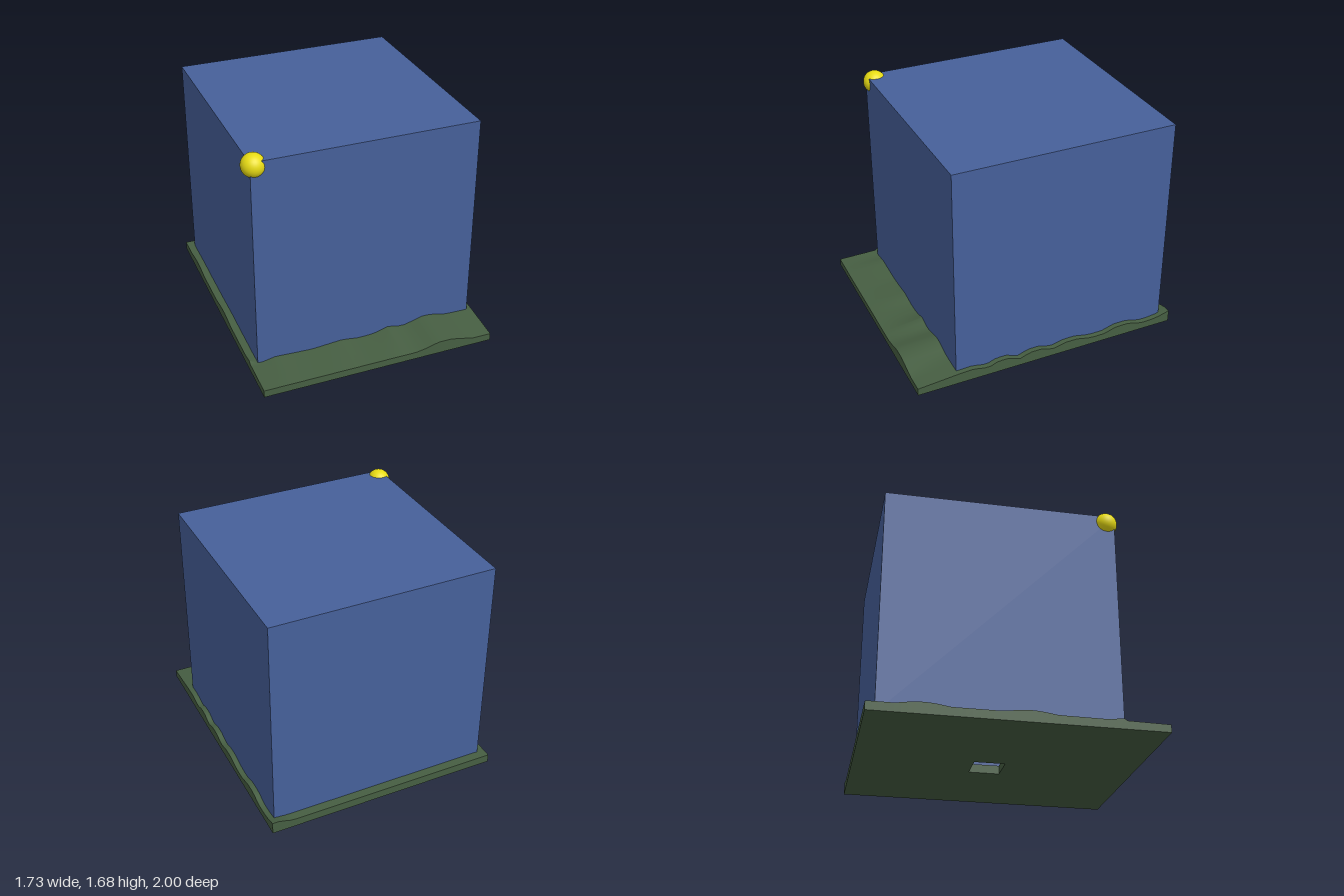
import * as THREE from 'three';
import { toCreasedNormals } from 'three/addons/utils/BufferGeometryUtils.js';

// height profiles as [position, height] pairs
const FRONT = [[-0.87, 0.055], [0.28, 0.055], [0.36, 0.07], [0.44, 0.095], [0.55, 0.095], [0.64, 0.075], [0.73, 0.055], [0.87, 0.055]];
const RIDGE = [[-0.87, 0.06], [-0.78, 0.055], [-0.68, 0.075], [-0.5, 0.066], [-0.4, 0.062], [-0.17, 0.08], [-0.05, 0.062], [0.07, 0.065],
  [0.19, 0.1], [0.3, 0.073], [0.47, 0.12], [0.55, 0.11], [0.65, 0.085], [0.87, 0.08]];
const SIDE = [[-1, 0.09], [-0.9, 0.062], [-0.83, 0.055], [-0.75, 0.055], [-0.66, 0.085], [-0.55, 0.085], [-0.45, 0.055], [-0.34, 0.055],
  [-0.22, 0.082], [-0.13, 0.08], [-0.03, 0.055], [0.06, 0.085], [0.15, 0.085], [0.23, 0.055], [0.32, 0.09], [0.4, 0.09], [0.47, 0.06],
  [0.58, 0.085], [0.7, 0.08], [1, 0.055]];

function sample(profile, t) {
  let i = 0;
  while (i < profile.length - 2 && t > profile[i + 1][0]) i++;
  const [a, ya] = profile[i], [b, yb] = profile[i + 1];
  return THREE.MathUtils.lerp(ya, yb, THREE.MathUtils.clamp((t - a) / (b - a), 0, 1));
}

// rolling ground: front ridge, bumpy left edge, calm right and back edges
function groundHeight(x, z) {
  const { lerp, smoothstep } = THREE.MathUtils;
  if (z >= 0.7) return lerp(sample(RIDGE, x), sample(FRONT, x), (z - 0.7) / 0.3);
  const inner = lerp(0.062, sample(RIDGE, x), smoothstep(z, 0.2, 0.7));
  const calm = inner + 0.02 * smoothstep(-x, 0.8, 0.865) * Math.max(0, Math.sin(z * 9 + 1));
  return lerp(calm, sample(SIDE, z), smoothstep(x, 0.7, 0.83));
}

// solid slab with a relief top and a square opening through it
function groundGeometry() {
  const X = 0.865, hole = { x0: -0.05, x1: 0.17, z0: -0.16, z1: 0.06 };
  const stations = (a, b, n, extra) => {
    const list = Array.from({ length: n + 1 }, (_, i) => a + (b - a) * i / n);
    return [...list.filter(v => extra.every(e => Math.abs(e - v) > 0.012)), ...extra].sort((p, q) => p - q);
  };
  const xs = stations(-X, X, 38, [-X, X, hole.x0, hole.x1]);
  const zs = stations(-1, 1, 44, [-1, 1, hole.z0, hole.z1, 0.7]);
  const solid = (i, j) => {
    if (i < 0 || j < 0 || i >= xs.length - 1 || j >= zs.length - 1) return false;
    const cx = (xs[i] + xs[i + 1]) / 2, cz = (zs[j] + zs[j + 1]) / 2;
    return !(cx > hole.x0 && cx < hole.x1 && cz > hole.z0 && cz < hole.z1);
  };
  const pos = [];
  const top = (i, j) => [xs[i], groundHeight(xs[i], zs[j]), zs[j]];
  const low = (i, j) => [xs[i], 0, zs[j]];
  const quad = (a, b, c, d) => pos.push(...a, ...b, ...c, ...a, ...c, ...d);
  const wall = (i, j, k, l) => quad(low(i, j), low(k, l), top(k, l), top(i, j));
  for (let i = 0; i < xs.length - 1; i++) {
    for (let j = 0; j < zs.length - 1; j++) {
      if (!solid(i, j)) continue;
      quad(top(i, j), top(i, j + 1), top(i + 1, j + 1), top(i + 1, j));
      quad(low(i, j), low(i + 1, j), low(i + 1, j + 1), low(i, j + 1));
      if (!solid(i, j + 1)) wall(i, j + 1, i + 1, j + 1);
      if (!solid(i, j - 1)) wall(i + 1, j, i, j);
      if (!solid(i + 1, j)) wall(i + 1, j + 1, i + 1, j);
      if (!solid(i - 1, j)) wall(i, j, i, j + 1);
    }
  }
  const geometry = new THREE.BufferGeometry();
  geometry.setAttribute('position', new THREE.Float32BufferAttribute(pos, 3));
  return toCreasedNormals(geometry, 0.8);
}

export function createModel() {
  const group = new THREE.Group();
  const add = (name, geometry, color, side = THREE.FrontSide) => {
    const mesh = new THREE.Mesh(geometry, new THREE.MeshStandardMaterial({ color, side }));
    mesh.name = name;
    group.add(mesh);
    return mesh;
  };

  // terrain slab
  add('ground', groundGeometry(), 0x465e42);

  // sky cube, open underneath
  const sky = new THREE.BoxGeometry(1.635, 1.635, 1.635);
  const index = Array.from(sky.index.array);
  index.splice(18, 6); // drop the floor face
  sky.setIndex(index);
  sky.clearGroups();
  add('skyBox', sky, 0x46609a, THREE.DoubleSide).position.set(0.008, 0.8225, -0.117);

  // sun on the upper front corner
  add('sun', new THREE.SphereGeometry(0.083, 32, 24), 0xe8dc14).position.set(-0.772, 1.593, 0.645);

  return group;
}
